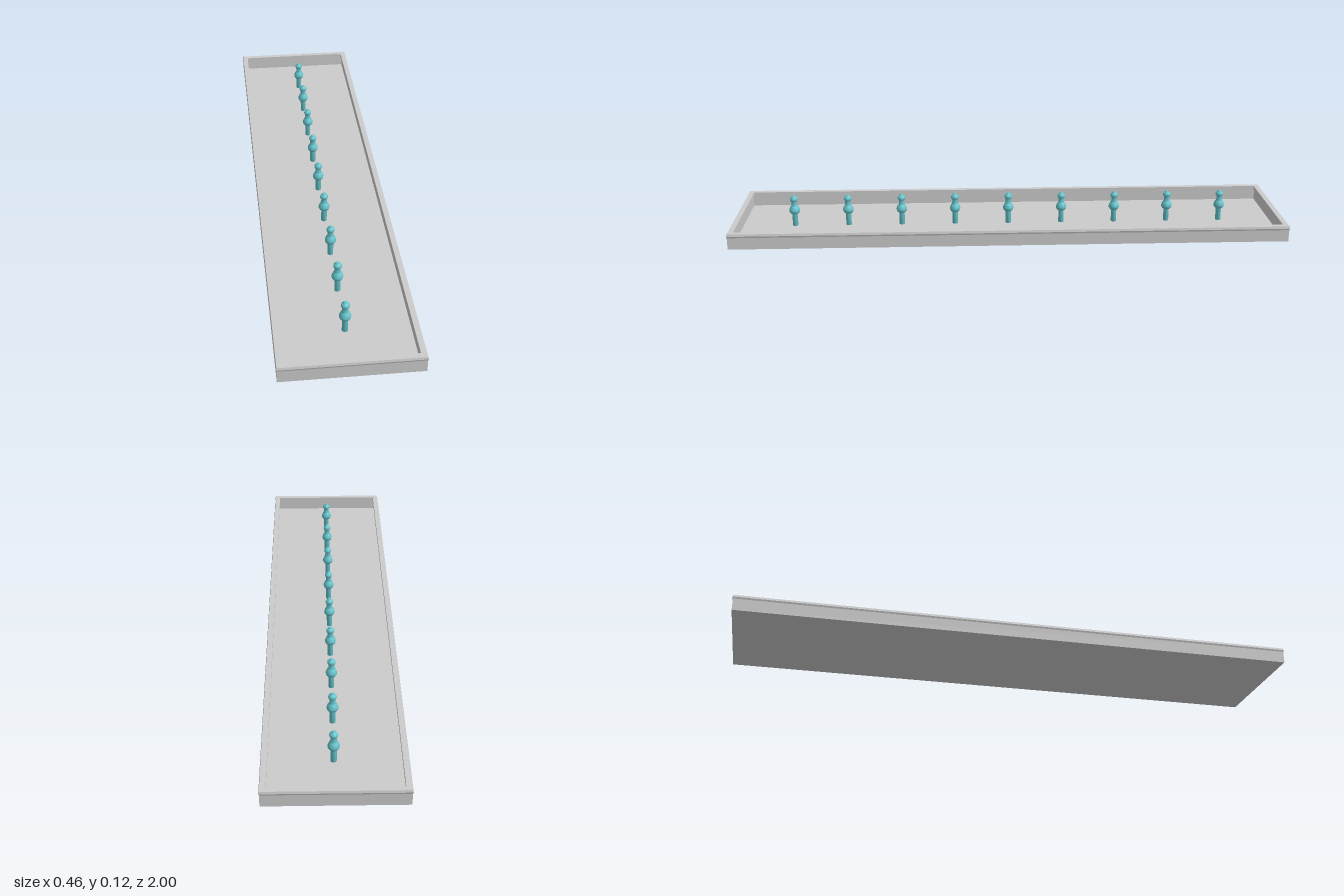
import * as THREE from 'three';

const HALF_W = 0.228, HALF_L = 0.998;

// Rectangular ring swept from a closed profile of [outset, y], counter-clockwise seen with outset to the right
function frame(profile, material, name) {
  const pos = [];
  const corners = [[1, 1], [1, -1], [-1, -1], [-1, 1]];
  const at = ([sx, sz], [o, y]) => [sx * (HALF_W + o), y, sz * (HALF_L + o)];
  corners.forEach((c, i) => {
    const d = corners[(i + 1) % 4];
    profile.forEach((p, j) => {
      const q = profile[(j + 1) % profile.length];
      const a = at(c, p), b = at(d, p), e = at(d, q), f = at(c, q);
      pos.push(...a, ...b, ...e, ...a, ...e, ...f);
    });
  });
  const geo = new THREE.BufferGeometry();
  geo.setAttribute('position', new THREE.Float32BufferAttribute(pos, 3));
  geo.computeVertexNormals();
  const mesh = new THREE.Mesh(geo, material);
  mesh.name = name;
  return mesh;
}

export function createModel() {
  const group = new THREE.Group();
  group.name = 'fountainBasin';
  const stone = new THREE.MeshStandardMaterial({ color: 0xcccccc });
  const teal = new THREE.MeshStandardMaterial({ color: 0x66c5cc });

  // Thin basin floor
  const floor = new THREE.Mesh(new THREE.BoxGeometry(HALF_W * 2 - 0.002, 0.002, HALF_L * 2 - 0.002), stone);
  floor.position.y = 0.001;
  floor.name = 'basinFloor';
  group.add(floor);

  // Upright walls and the slightly proud coping on top of them
  group.add(frame([[-0.014, 0], [0, 0], [0, 0.046], [-0.014, 0.046]], stone, 'basinWalls'));
  group.add(frame([[-0.019, 0.043], [0, 0.043], [0.002, 0.049], [0, 0.057], [-0.019, 0.057]], stone, 'coping'));

  // Turned nozzle: stem, large bulb, neck, small bulb and tip
  const profile = [
    [0, 0.001], [0.01, 0.001], [0.01, 0.047], [0.0155, 0.051], [0.019, 0.057], [0.0195, 0.063],
    [0.017, 0.071], [0.0135, 0.077], [0.0105, 0.081], [0.0098, 0.095], [0.0125, 0.098],
    [0.0143, 0.103], [0.0135, 0.108], [0.0105, 0.112], [0.007, 0.113], [0.0065, 0.117], [0.004, 0.119], [0, 0.119],
  ].map(([x, y]) => new THREE.Vector2(x, y));
  const nozzleGeo = new THREE.LatheGeometry(profile, 16);

  // Row of nine along the centre line
  for (let i = 0; i < 9; i++) {
    const nozzle = new THREE.Mesh(nozzleGeo, teal);
    nozzle.position.set(0.003, 0, (i - 4) * 0.198);
    nozzle.name = 'nozzle' + (i + 1);
    group.add(nozzle);
  }
  return group;
}
